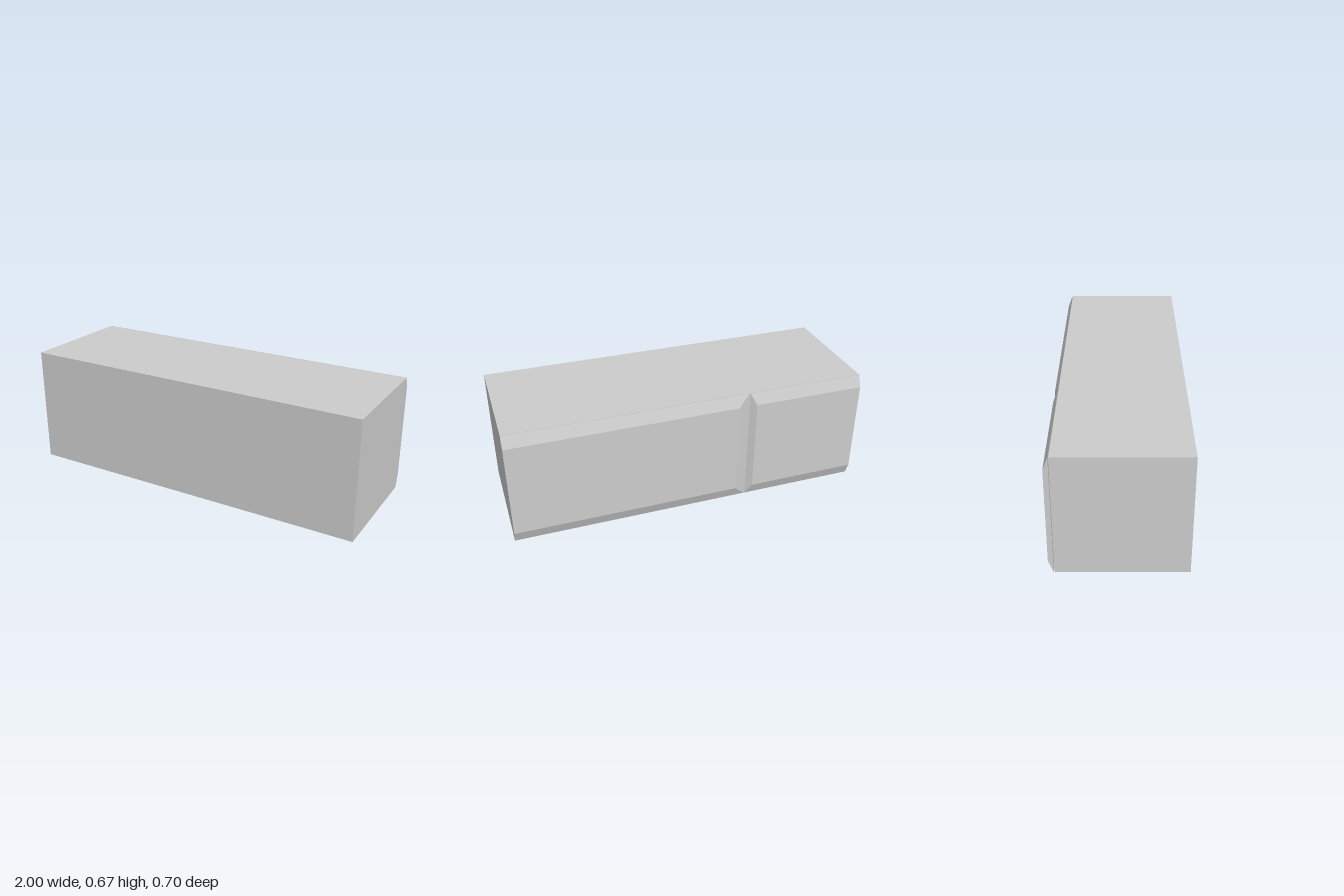
import * as THREE from 'three';

const H = 0.667, SPLIT = -0.333, BACK = -0.348, GAP = 0.002;
const material = new THREE.MeshStandardMaterial({ color: 0xcccccc, flatShading: true });

function addBox(group, name, x0, x1, z0, z1, shape) {
  const geometry = new THREE.BoxGeometry(x1 - x0, H, z1 - z0);
  geometry.translate((x0 + x1) / 2, H / 2, (z0 + z1) / 2);
  if (shape) shape(geometry.attributes.position);
  geometry.computeVertexNormals();
  const mesh = new THREE.Mesh(geometry, material);
  mesh.name = name;
  group.add(mesh);
}

// Back panel: chamfered along top, bottom and the edge beside the seam; outer end stays flat
function addPanel(group, name, x0, x1, seamX) {
  const endBevel = (x1 - x0) * 0.05, yBevel = H * 0.1;
  addBox(group, name, x0, x1, BACK, -0.322, (p) => {
    for (let i = 0; i < p.count; i++) {
      if (p.getZ(i) > -0.335) continue;
      p.setY(i, p.getY(i) > H / 2 ? H - yBevel : yBevel);
      if (Math.abs(p.getX(i) - seamX) < 0.001) {
        p.setX(i, seamX + (seamX === x0 ? endBevel : -endBevel));
      }
    }
  });
}

export function createModel() {
  const group = new THREE.Group();
  group.name = 'panelledBlock';

  // Plain main block
  addBox(group, 'mainBlock', -1, 1, -0.319, 0.348);

  // Long and short panels meeting at a V-shaped seam
  addPanel(group, 'longBackPanel', SPLIT + GAP, 1, SPLIT + GAP);
  addPanel(group, 'shortBackPanel', -1, SPLIT - GAP, SPLIT - GAP);

  return group;
}
